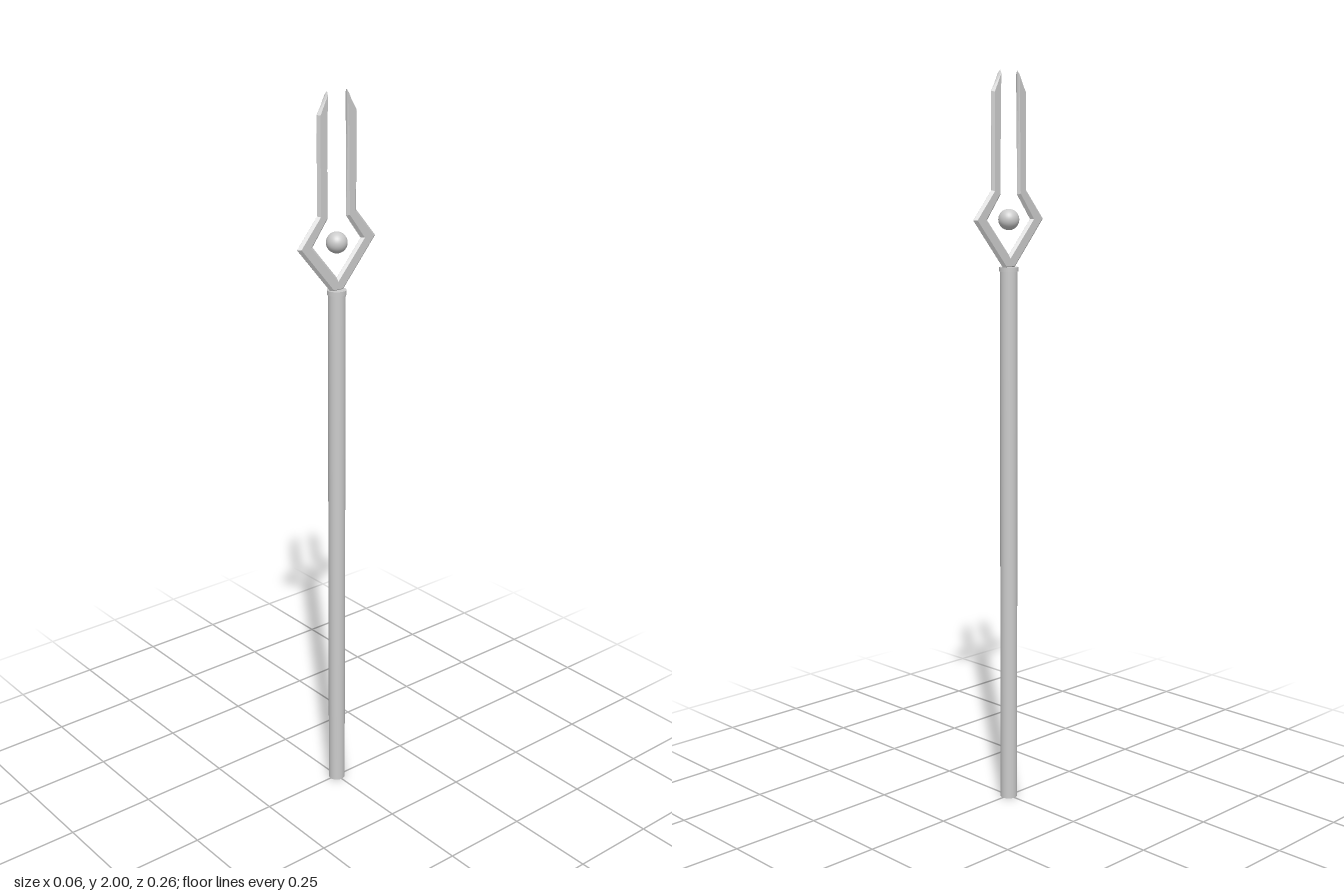
import * as THREE from 'three';

const material = new THREE.MeshStandardMaterial({ color: 0xcccccc });

function addPart(group, name, geometry, y = 0) {
  const mesh = new THREE.Mesh(geometry, material);
  mesh.name = name;
  mesh.position.y = y;
  group.add(mesh);
}

// One half of the fork outline, from bottom to tip and back down the inside
const outer = [[0.018, 1.485], [0.129, 1.615], [0.064, 1.692], [0.064, 1.945]];
const inner = [[0.031, 2.0], [0.031, 1.68], [0.08, 1.615], [0, 1.522]];

function forkGeometry() {
  const half = [...outer, ...inner];
  const mirrored = half.slice(0, -1).reverse().map(([z, y]) => [-z, y]);
  const shape = new THREE.Shape([...half, ...mirrored].map(([z, y]) => new THREE.Vector2(z, y)));
  // Bevels meet at mid thickness, giving sharpened edges
  const depth = 0.0006, bevel = 0.0065;
  const geometry = new THREE.ExtrudeGeometry(shape, {
    depth, bevelEnabled: true, bevelSegments: 1,
    bevelThickness: bevel, bevelSize: 0.007, bevelOffset: -0.007,
  });
  geometry.translate(0, 0, -depth / 2);
  geometry.rotateY(-Math.PI / 2);
  return geometry;
}

export function createModel() {
  const group = new THREE.Group();
  group.name = 'forkedStaff';

  // Long round shaft with a slim rim at the top
  addPart(group, 'shaft', new THREE.CylinderGeometry(0.0235, 0.0235, 1.485, 24), 0.7425);
  addPart(group, 'shaftRim', new THREE.CylinderGeometry(0.026, 0.026, 0.012, 24), 1.484);

  // Two-pronged blade and the orb floating inside it
  addPart(group, 'forkBlade', forkGeometry());
  addPart(group, 'orb', new THREE.SphereGeometry(0.028, 32, 20), 1.615);

  return group;
}
